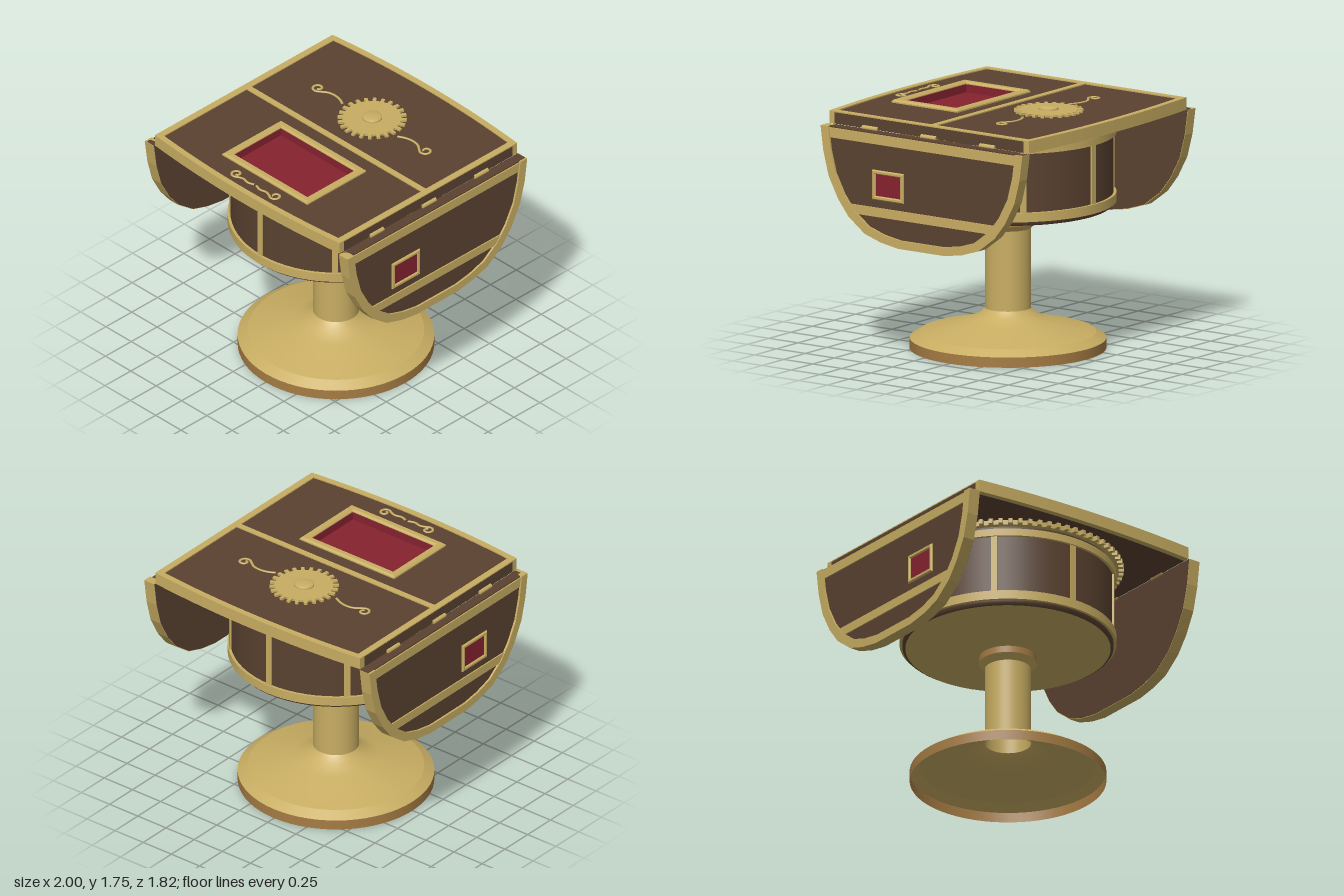
import * as THREE from 'three';

const mat = (name, color, side = THREE.FrontSide) => {
  const m = new THREE.MeshStandardMaterial({ color, side });
  m.name = name;
  return m;
};

export function createModel() {
  const wood = mat('dark wood', 0x5a4230);
  const brass = mat('brass', 0xc8ad62, THREE.DoubleSide);
  const bronze = mat('bronze', 0xa67c44, THREE.DoubleSide);
  const red = mat('red felt', 0x85222f);
  const table = new THREE.Group();
  table.name = 'dropLeafTable';

  const add = (name, geo, material, parent = table) => {
    const mesh = new THREE.Mesh(geo, material);
    mesh.name = name;
    parent.add(mesh);
    return mesh;
  };
  const box = (name, w, h, d, x, y, z, material, parent) =>
    add(name, new THREE.BoxGeometry(w, h, d), material, parent).position.set(x, y, z);
  const lathe = (name, pts, material) =>
    add(name, new THREE.LatheGeometry(pts.map(p => new THREE.Vector2(...p)), 64), material);
  const poly = pts => new THREE.Shape(pts.map(p => new THREE.Vector2(...p)));
  const rect = (x0, y0, x1, y1) => [[x0, y0], [x1, y0], [x1, y1], [x0, y1]];
  const rectRing = (w, h, t, cx, cy) => {
    const s = poly(rect(cx - w / 2, cy - h / 2, cx + w / 2, cy + h / 2));
    s.holes.push(poly(rect(cx - w / 2 + t, cy - h / 2 + t, cx + w / 2 - t, cy + h / 2 - t)));
    return s;
  };
  // Extrusion from d0 to d1 along the shape's own z, optionally with a bevelled front
  const extrude = (shape, d0, d1, bevel = 0) => new THREE.ExtrudeGeometry(shape, {
    depth: d1 - d0 - bevel, bevelEnabled: bevel > 0, bevelThickness: bevel,
    bevelSize: bevel, bevelOffset: -bevel, bevelSegments: 1,
  }).translate(0, 0, d0);
  // Extrusion standing upright between heights y0 and y1; shape coordinates are (x, -z)
  const slab = (name, shape, y0, y1, material, bevel) =>
    add(name, extrude(shape, y0, y1, bevel).rotateX(-Math.PI / 2), material);
  const gearShape = (root, tip, teeth) => {
    const pts = [];
    for (let i = 0; i < teeth; i++) {
      [[0, root], [0.5, root], [0.56, tip], [0.94, tip]].forEach(([f, r]) => {
        const a = (i + f) / teeth * Math.PI * 2;
        pts.push([Math.cos(a) * r, Math.sin(a) * r]);
      });
    }
    return poly(pts);
  };

  // Pedestal: hollow foot, column and collar
  lathe('footBand', [[0.68, 0], [0.68, 0.072]], bronze);
  lathe('footBevel', [[0.68, 0.072], [0.61, 0.115]], brass);
  lathe('footCone', [[0.61, 0.115], [0.3, 0.195], [0.2, 0.24], [0.16, 0.285]], brass);
  lathe('column', [[0.16, 0.285], [0.16, 0.85]], brass);
  lathe('collarFlare', [[0.16, 0.85], [0.2, 0.89]], brass);
  lathe('collar', [[0.2, 0.89], [0.2, 0.94]], bronze);

  // Drum with hoops, upright straps and a toothed ring
  lathe('drumUnderside', [[0.2, 0.937], [0.37, 0.962], [0.71, 1.008]], brass);
  lathe('drumLip', [[0.71, 1.008], [0.73, 1.02], [0.73, 1.05]], wood);
  lathe('drumWall', [[0.73, 1.04], [0.73, 1.6]], wood);
  [[1.04, 1.105], [1.522, 1.575]].forEach(([a, b]) => {
    lathe('drumHoopSide', [[0.75, a], [0.75, b]], brass);
    lathe('drumHoopTop', [[0.75, b], [0.725, b]], brass);
    lathe('drumHoopBottom', [[0.725, a], [0.75, a]], brass);
  });
  for (let i = 0; i < 8; i++) {
    const strap = new THREE.Group();
    strap.name = 'drumStrap';
    strap.rotation.y = i * Math.PI / 4;
    box('strapBar', 0.044, 0.43, 0.02, 0, 1.315, 0.73, brass, strap);
    table.add(strap);
  }
  slab('toothedRing', gearShape(0.765, 0.8, 72), 1.598, 1.634, brass);

  // Table top with bowed front and back
  const bow = (inset, w) => {
    const pts = [];
    for (let i = 0; i <= 16; i++) {
      const x = w * (i / 8 - 1);
      pts.push([x, 0.91 - inset - 0.05 * (x / 0.91) ** 2]);
    }
    return pts;
  };
  const flip = pts => pts.map(([x, y]) => [x, -y]);
  const inner = bow(0.045, 0.91);
  const board = poly([...flip(inner), ...[...inner].reverse()]);
  board.holes.push(poly(rect(-0.362, -0.632, 0.362, -0.178)));
  slab('topBoard', board, 1.632, 1.712, wood);
  const rim = [...inner, ...bow(0, 0.91).reverse()];
  slab('backRim', poly(rim), 1.632, 1.72, brass);
  slab('frontRim', poly(flip(rim)), 1.632, 1.72, brass);
  for (const s of [-1, 1]) box('sideTrim', 0.05, 0.008, 1.64, s * 0.885, 1.716, 0, brass);
  box('centreTrim', 1.72, 0.008, 0.045, 0, 1.716, -0.003, brass);

  // Sunken felt tray and its frame
  box('trayFloor', 0.72, 0.02, 0.45, 0, 1.65, 0.405, red);
  slab('trayWalls', rectRing(0.73, 0.46, 0.006, 0, -0.405), 1.645, 1.716, red);
  slab('trayFrame', rectRing(0.84, 0.57, 0.058, 0, -0.405), 1.705, 1.734, brass, 0.012);

  // Gear ornament
  slab('gear', gearShape(0.202, 0.24, 24), 1.71, 1.728, brass).position.z = -0.35;
  lathe('gearHub', [[0.07, 1.725], [0.068, 1.74]], brass).position.z = -0.35;
  lathe('gearHubCap', [[0.068, 1.74], [0.05, 1.75], [0, 1.752]], brass).position.z = -0.35;

  // Scroll ornaments: a wavy stem running into a spiral
  const scroll = (stem, cx, cz, r) => {
    for (const s of [-1, 1]) {
      const pts = stem.map(([x, z]) => new THREE.Vector3(s * x, 0, z));
      for (let i = 0; i <= 12; i++) {
        const a = 2.5 - i * 0.58, k = r * (1 - i / 18);
        pts.push(new THREE.Vector3(s * (cx + Math.cos(a) * k), 0, cz + Math.sin(a) * k));
      }
      const geo = new THREE.TubeGeometry(new THREE.CatmullRomCurve3(pts), 70, 0.01, 6);
      add('scroll', geo.scale(1, 0.6, 1).translate(0, 1.714, 0), brass);
    }
  };
  scroll([[0.27, -0.33], [0.32, -0.355], [0.38, -0.367], [0.44, -0.358]], 0.53, -0.35, 0.046);
  scroll([[0.01, 0.78], [0.06, 0.795], [0.11, 0.785]], 0.19, 0.773, 0.043);

  // Hanging leaves, drawn in (sideways, up) and turned to face outwards
  const half = [[0.87, 1.63], [0.845, 1.45], [0.8, 1.28], [0.72, 1.13], [0.63, 1.015],
    [0.49, 0.91], [0.35, 0.865], [0.2, 0.84]];
  const outline = (ku, kv) => [...half, ...half.map(([u, v]) => [-u, v]).reverse()]
    .map(([u, v]) => [u * ku, 1.63 - (1.63 - v) * kv]).reverse();
  for (const s of [-1, 1]) {
    const leaf = new THREE.Group();
    leaf.name = s > 0 ? 'leftLeaf' : 'rightLeaf';
    leaf.rotation.y = s * Math.PI / 2;
    table.add(leaf);
    const u = -s * 0.295;
    add('leafBoard', extrude(poly(outline(0.995, 0.995)), 0.91, 0.985), wood, leaf);
    add('leafRim', extrude(poly([...outline(1, 1), ...outline(0.925, 0.925).reverse()]), 0.913, 1), brass, leaf);
    add('leafUpperBand', extrude(poly([[-0.79, 1.552], [0.79, 1.552], [0.8, 1.622], [-0.8, 1.622]]), 0.98, 0.994), brass, leaf);
    add('leafLowerBand', extrude(poly([[-0.62, 1.04], [0.62, 1.04], [0.67, 1.105], [-0.67, 1.105]]), 0.98, 0.994), brass, leaf);
    add('leafPanel', extrude(poly(rect(u - 0.115, 1.18, u + 0.115, 1.35)), 0.98, 0.988), red, leaf);
    add('leafPanelFrame', extrude(rectRing(0.27, 0.21, 0.028, u, 1.265), 0.98, 1, 0.007), brass, leaf);
    // Hinge barrels
    for (const z of [-0.505, 0, 0.505]) {
      const pin = add('hinge', new THREE.CylinderGeometry(0.017, 0.017, 0.13, 12), brass, leaf);
      pin.rotation.z = Math.PI / 2;
      pin.position.set(z, 1.637, 0.912);
    }
  }
  return table;
}
